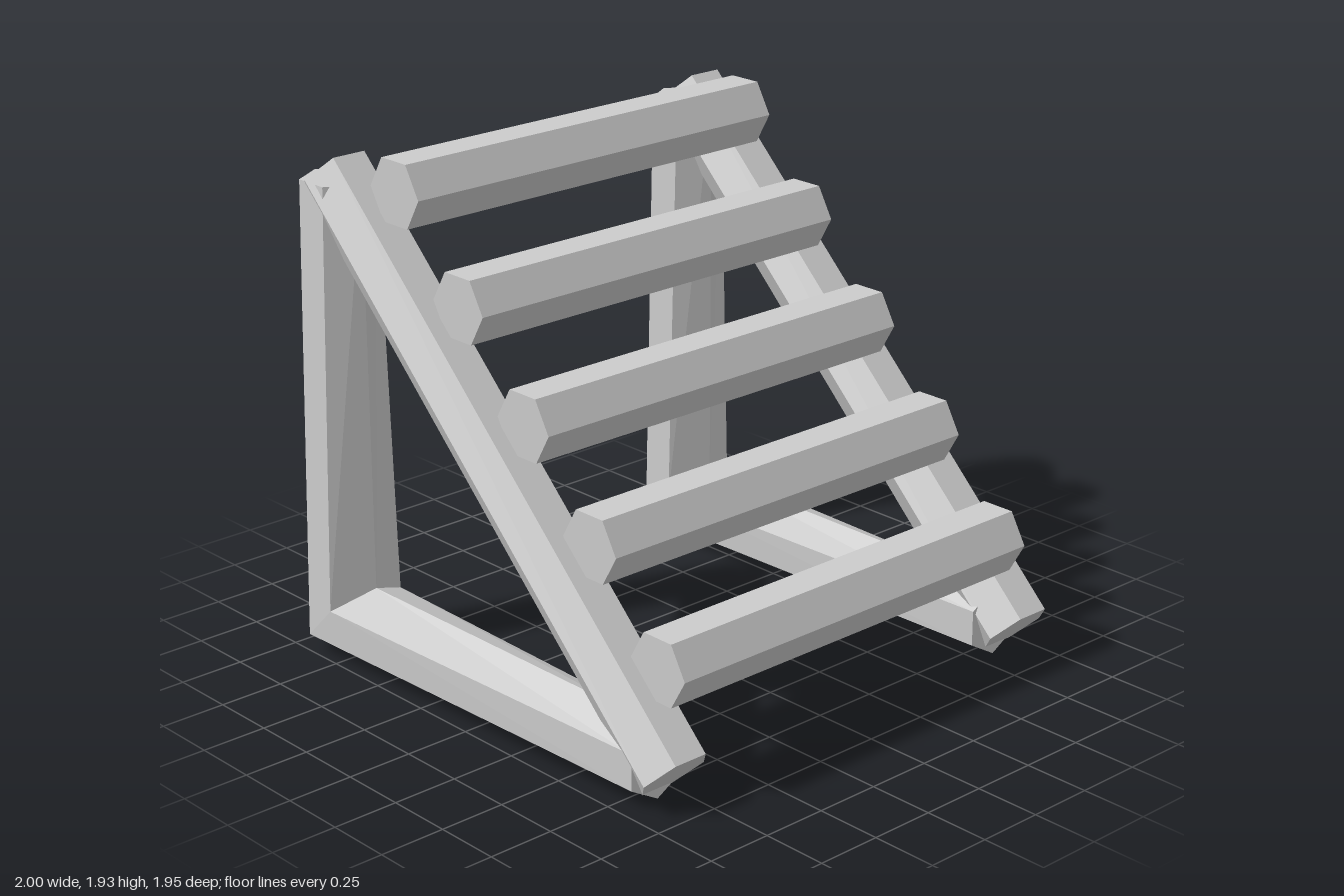
import * as THREE from 'three';

const material = new THREE.MeshStandardMaterial({ color: 0xcccccc, flatShading: true });

function addMesh(parent, name, geometry, x = 0, y = 0, z = 0) {
  const mesh = new THREE.Mesh(geometry, material);
  mesh.name = name;
  mesh.position.set(x, y, z);
  parent.add(mesh);
}

// L-shaped hexagonal beam: base running back, mitred elbow, upright post
function elbowBeam() {
  const R = 0.135, cy = 0.135, cz = -0.837, widen = 1.38;
  const sections = [
    (w, d) => [w, cy - d, 0.82],
    (w, d) => [w * widen, cy - d, cz - d],
    (w, d) => [w, 1.8, cz - d],
  ];
  const positions = [], index = [];
  for (const section of sections) {
    for (let i = 0; i < 6; i++) {
      const a = (i * Math.PI) / 3;
      positions.push(...section(R * Math.sin(a), R * Math.cos(a)));
    }
  }
  for (let s = 0; s < 2; s++) {
    for (let i = 0; i < 6; i++) {
      const a = s * 6 + i, b = s * 6 + ((i + 1) % 6);
      index.push(a, a + 6, b, b, a + 6, b + 6);
    }
  }
  // End caps
  for (let i = 1; i < 5; i++) {
    index.push(0, i, i + 1);
    index.push(12, 12 + i + 1, 12 + i);
  }
  const indexed = new THREE.BufferGeometry();
  indexed.setAttribute('position', new THREE.Float32BufferAttribute(positions, 3));
  indexed.setIndex(index);
  const geometry = indexed.toNonIndexed();
  geometry.computeVertexNormals();
  return geometry;
}

// Sloping hexagonal rail with its flat faces up and down
function slopingRail() {
  const dy = 1.695, dz = -1.75;
  const geometry = new THREE.CylinderGeometry(0.135, 0.135, Math.hypot(dy, dz), 6);
  geometry.rotateY(Math.PI / 6);
  geometry.rotateX(Math.atan2(dz, dy));
  return geometry;
}

export function createModel() {
  const model = new THREE.Group();
  model.name = 'slopedRack';

  // Two triangular side frames
  const frames = [
    { name: 'leftFrame', beamX: 0.833, railX: 0.865 },
    { name: 'rightFrame', beamX: -0.84, railX: -0.835 },
  ];
  for (const { name, beamX, railX } of frames) {
    const frame = new THREE.Group();
    frame.name = name;
    addMesh(frame, 'baseAndPost', elbowBeam(), beamX);
    addMesh(frame, 'slopingRail', slopingRail(), railX, 0.963, 0.02);
    model.add(frame);
  }

  // Five hexagonal rungs lying on the rails
  const rung = new THREE.CylinderGeometry(0.133, 0.133, 1.67, 6).rotateZ(Math.PI / 2);
  for (let i = 0; i < 5; i++) {
    addMesh(model, `rung${i + 1}`, rung, -0.005, 0.472 + i * 0.3345, 0.82 - i * 0.3335);
  }
  return model;
}
